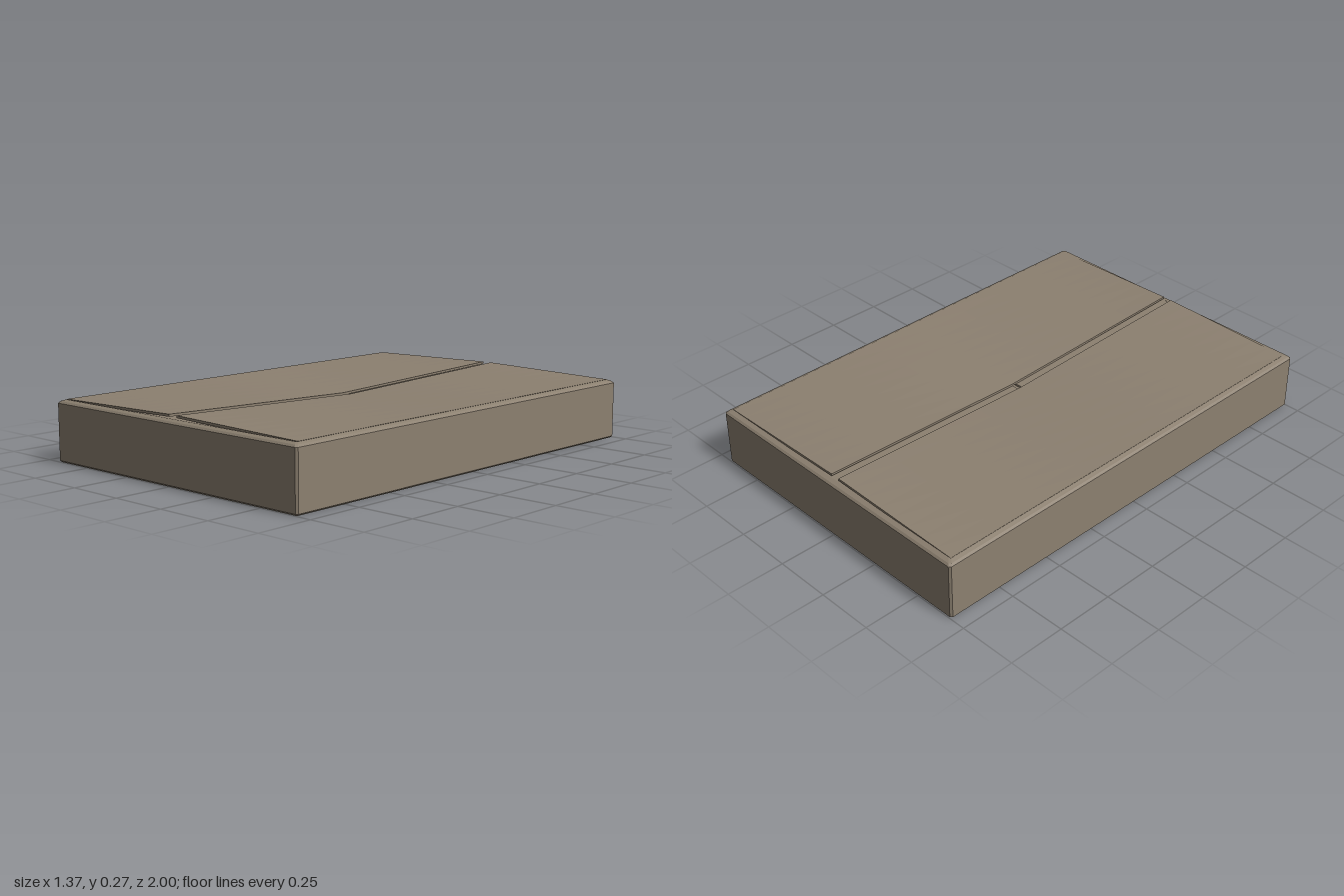
import * as THREE from 'three';

const W = 0.685, D = 1; // half width and half depth
const RIM_Y = 0.26, THICK = 0.01;
const card = new THREE.MeshStandardMaterial({ color: 0x8c8070, flatShading: true });

// Rectangle with clipped corners, running +x along the front
function outline(inset, y) {
  const x = Math.max(0, W - inset), z = Math.max(0, D - inset);
  const c = Math.min(0.008, x, z);
  return [
    [-x + c, z], [x - c, z], [x, z - c], [x, -z + c],
    [x - c, -z], [-x + c, -z], [-x, -z + c], [-x, z - c],
  ].map(([px, pz]) => [px, y, pz]);
}

// Tray: sweep an [inset, y] profile round the outline, outside then inside
function makeTray() {
  const profile = [
    [1, 0], [0.006, 0], [0, 0.007], [0, 0.245], [0.008, 0.253], [0.025, 0.259],
    [0.032, 0.258], [0.032, 0.012], [1, 0.012],
  ];
  const rings = profile.map(([inset, y]) => outline(inset, y));
  const n = rings[0].length, index = [];
  for (let r = 0; r < rings.length - 1; r++) {
    for (let i = 0; i < n; i++) {
      const a = r * n + i, b = r * n + (i + 1) % n;
      index.push(a, b, b + n, a, b + n, a + n);
    }
  }
  const geo = new THREE.BufferGeometry();
  geo.setAttribute('position', new THREE.Float32BufferAttribute(rings.flat(2), 3));
  geo.setIndex(index);
  const flat = geo.toNonIndexed();
  flat.computeVertexNormals();
  return flat;
}

// Thin board between x0..x1 and z0..z1 whose top follows height(x, z)
function makeFlap(name, x0, x1, z0, z1, height) {
  const geo = new THREE.BoxGeometry(x1 - x0, THICK, z1 - z0, 8, 1, 8);
  geo.translate((x0 + x1) / 2, -THICK / 2, (z0 + z1) / 2);
  const p = geo.attributes.position;
  for (let i = 0; i < p.count; i++) {
    p.setY(i, p.getY(i) + height(p.getX(i), p.getZ(i)));
  }
  geo.computeVertexNormals();
  const mesh = new THREE.Mesh(geo, card);
  mesh.name = name;
  return mesh;
}

export function createModel() {
  const group = new THREE.Group();
  group.name = 'cardboardBox';

  const tray = new THREE.Mesh(makeTray(), card);
  tray.name = 'tray';
  group.add(tray);

  // Inner flaps hinge on the short sides and sag to the middle
  const innerTop = (x, z) => 0.228 + 0.03 * Math.abs(z) / 0.98;
  group.add(makeFlap('frontInnerFlap', -0.654, 0.654, 0.022, 0.975, innerTop));
  group.add(makeFlap('backInnerFlap', -0.654, 0.654, -0.975, 0.002, innerTop));

  // Outer flaps hinge on the long sides; free edges are high at the ends, low midway
  const outerTop = (x, z) => {
    const free = 1 - Math.abs(x) / 0.66;
    const edge = 0.24 + 0.034 * Math.abs(z) / 0.968;
    return THREE.MathUtils.lerp(RIM_Y, edge, free);
  };
  group.add(makeFlap('leftOuterFlap', 0.018, 0.66, -0.972, 0.968, outerTop));
  group.add(makeFlap('rightOuterFlap', -0.66, -0.024, -0.972, 0.968, outerTop));

  return group;
}
